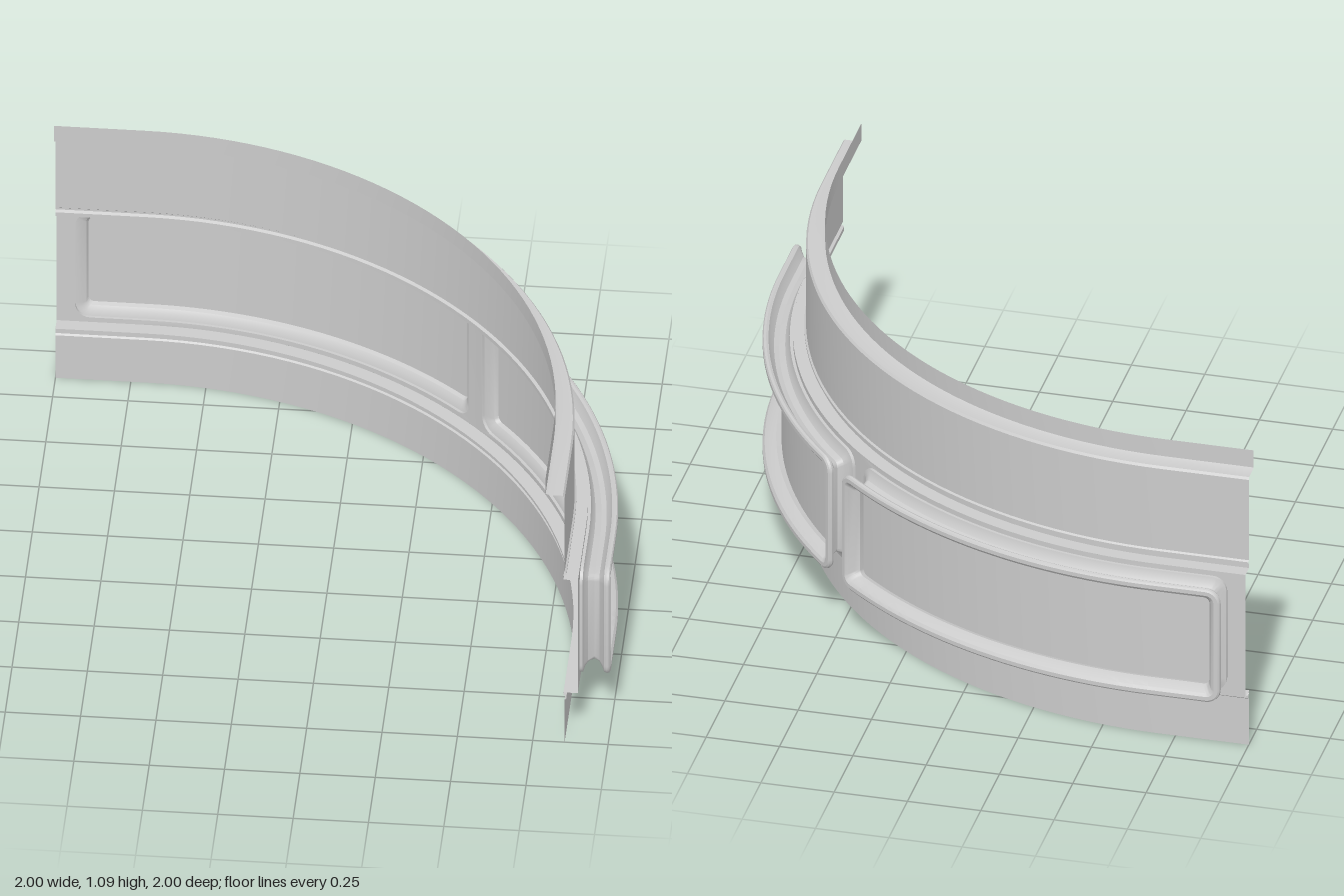
import * as THREE from 'three';
import { toCreasedNormals } from 'three/addons/utils/BufferGeometryUtils.js';

// Plan path: straight run, quarter arc, straight run. u = 0 is the middle of the arc.
const CENTRE = 0.7, R0 = CENTRE + 0.9, ARC = R0 * Math.PI / 4, HALF = ARC + 1 - CENTRE;
const BAND_LOW = 0.205, BAND_HIGH = 0.67;

// Point at distance u along the path, offset outwards, at height y
function place(u, off, y) {
  const c = Math.max(-ARC, Math.min(ARC, u));
  const t = Math.PI / 4 + c / R0, r = CENTRE + off, extra = u - c;
  return [
    -CENTRE + r * Math.sin(t) + extra * Math.cos(t), y,
    CENTRE - r * Math.cos(t) + extra * Math.sin(t),
  ];
}

// Skin rows of equal length into a surface
function skin(rows, closed = false) {
  const n = rows[0].length, pos = rows.flat(2), idx = [];
  for (let i = 0; i < rows.length - 1; i++) {
    for (let j = 0; j < (closed ? n : n - 1); j++) {
      const k = (j + 1) % n;
      const a = i * n + j, b = i * n + k, c = (i + 1) * n + k, d = (i + 1) * n + j;
      idx.push(a, d, b, b, d, c);
    }
  }
  const g = new THREE.BufferGeometry();
  g.setAttribute('position', new THREE.Float32BufferAttribute(pos, 3));
  g.setIndex(idx);
  return toCreasedNormals(g, 0.45);
}

// Sweep an [offset, height] profile along the whole path
function sweep(profile) {
  const us = [-HALF];
  const steps = 40;
  for (let i = 0; i <= steps; i++) us.push(-ARC + 2 * ARC * i / steps);
  us.push(HALF);
  return skin([...profile].reverse().map(([off, y]) => us.map(u => place(u, off, y))));
}

// Upper half of a rounded rectangle in (u, y), from left to right
function upperHalf(u0, u1, y1, r) {
  const pts = [], corner = 6, steps = 28;
  for (let i = 0; i <= corner; i++) {
    const a = Math.PI / 2 * i / corner;
    pts.push([u0 + r - r * Math.cos(a), y1 - r + r * Math.sin(a)]);
  }
  for (let i = 1; i < steps; i++) pts.push([u0 + r + (u1 - u0 - 2 * r) * i / steps, y1]);
  for (let i = 0; i <= corner; i++) {
    const a = Math.PI / 2 * i / corner;
    pts.push([u1 - r + r * Math.sin(a), y1 - r + r * Math.cos(a)]);
  }
  return pts;
}

// Upper and lower edges of a rounded rectangle bent onto the path
function halves(u0, u1, y0, y1, r, off) {
  const top = upperHalf(u0, u1, y1, r);
  return [
    top.map(([u, y]) => place(u, off, y)),
    top.map(([u, y]) => place(u, off, y0 + y1 - y)),
  ];
}

function ring(...args) {
  const [top, bottom] = halves(...args);
  return [...top, ...bottom.reverse()];
}

export function createModel() {
  const model = new THREE.Group();
  const material = new THREE.MeshStandardMaterial({ color: 0xcccccc, side: THREE.DoubleSide });
  const add = (name, geometry, parent = model) => {
    const mesh = new THREE.Mesh(geometry, material);
    mesh.name = name;
    parent.add(mesh);
  };

  // Lower wall with small moulding and ledge
  add('lowerWall', sweep([
    [0.856, 0], [0.856, 0.175], [0.862, 0.18], [0.862, 0.19],
    [0.852, 0.195], [0.852, BAND_LOW], [0.9, BAND_LOW],
  ]));

  // Upper wall with ledge, moulding and set-back rim
  add('upperWall', sweep([
    [0.9, BAND_HIGH], [0.852, BAND_HIGH], [0.852, 0.685], [0.862, 0.69], [0.862, 0.697],
    [0.856, 0.702], [0.856, 1.007], [0.85, 1.015], [0.805, 1.015], [0.793, 1.02], [0.793, 1.085],
  ]));

  // Panel edge section as [inset, offset]: base, cove, outer bead, deep inner wall
  const edge = [
    [0, 0.9], [0, 0.91], [0.02, 0.915], [0.034, 0.925], [0.042, 0.945], [0.036, 0.962],
    [0.018, 0.974], [0.004, 0.98], [0, 0.988], [0.002, 0.996], [0.008, 1],
    [0.022, 1], [0.032, 0.993], [0.042, 0.975], [0.047, 0.955], [0.041, 0.937],
  ];

  for (const side of [-1, 1]) {
    const group = new THREE.Group();
    group.name = side < 0 ? 'backPanel' : 'leftPanel';
    const span = (near, far) => side < 0 ? [-far, -near] : [near, far];
    const [u0, u1] = span(0.035, HALF - 0.062);
    const y0 = 0.223, y1 = 0.652;
    const inset = ([d, off]) =>
      [u0 + d, u1 - d, y0 + d, y1 - d, Math.max(0.05 - d, 0.02), off];

    // Band around the panel opening
    const [c0, c1] = span(0, HALF);
    add('band', skin([
      ring(c0, c1, BAND_LOW, BAND_HIGH, 0, 0.9), ring(...inset(edge[0])),
    ], true), group);

    // Moulded frame and recessed curved face
    add('panelFrame', skin(edge.map(e => ring(...inset(e))), true), group);
    add('panelFace', skin(halves(...inset(edge[edge.length - 1]))), group);
    model.add(group);
  }
  return model;
}
